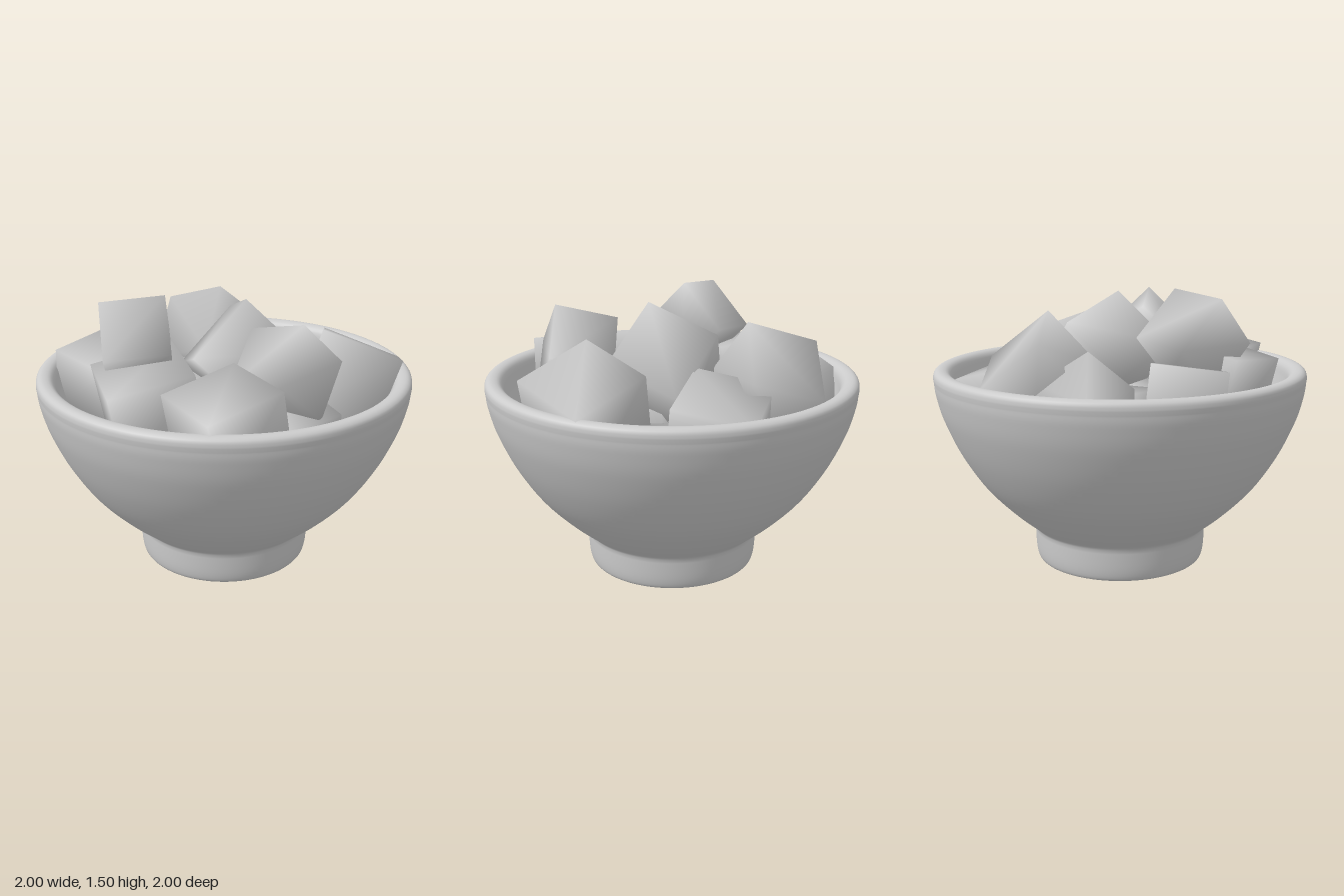
import * as THREE from 'three';
import { mergeVertices } from 'three/addons/utils/BufferGeometryUtils.js';

const material = new THREE.MeshStandardMaterial({ color: 0xcccccc });
const v2 = ([x, y]) => new THREE.Vector2(x, y);
const curve = (pts, n) => new THREE.SplineCurve(pts.map(v2)).getPoints(n);

// Cube with shared corners, so its shading runs softly over the edges
function softCube(size) {
  const g = new THREE.BoxGeometry(size, size, size);
  g.deleteAttribute('normal');
  g.deleteAttribute('uv');
  const merged = mergeVertices(g);
  merged.computeVertexNormals();
  return merged;
}

// Each cube: centre, edge length, direction of one edge, rough direction of a second
const CUBES = [
  // top layer
  [[-0.41, 1.245, -0.23], 0.34, [-0.74, -0.09, -0.68], [-0.48, 0.7, 0.52]],
  [[-0.09, 1.17, 0.5], 0.34, [0, 0.24, 0.97], [0.7, 0.7, -0.17]],
  [[0.08, 1.115, 0.05], 0.417, [0.18, -0.28, 0.25], [-0.22, 0.13, 0.33]],
  [[0.34, 1.07, -0.435], 0.4, [0.31, -0.24, 0.05], [0, 0.14, 0.36]],
  // ring along the rim
  [[0.42, 1.0, 0.51], 0.436, [0.21, -0.14, 0.36], [-0.34, 0.11, 0.25]],
  [[0.08, 0.95, -0.66], 0.34, [0.2, 0.21, -0.18], [0.28, -0.18, 0.09]],
  [[-0.39, 0.97, -0.53], 0.37, [0.37, 0.04, -0.02], [-0.03, 0.36, 0.06]],
  [[0.53, 0.89, -0.14], 0.42, [0.35, -0.1, 0.2], [0.12, 0.38, 0]],
  [[-0.47, 0.97, 0.46], 0.42, [0.37, 0.08, 0.1], [-0.08, 0.4, 0]],
  [[-0.51, 0.97, -0.04], 0.44, [0.39, 0.09, 0.23], [-0.08, 0.4, 0]],
  // lower layer, mostly covered
  [[-0.1, 0.82, 0.5], 0.4, [0.38, 0.05, 0.1], [0, 0.38, 0.08]],
  [[-0.1, 0.75, 0.12], 0.4, [0.3, 0.1, 0.25], [-0.1, 0.38, 0]],
  [[0.02, 0.8, -0.32], 0.4, [0.36, 0, 0.12], [0.05, 0.38, 0.05]],
  [[0.3, 0.62, 0.2], 0.4, [0.3, 0.05, -0.25], [0, 0.4, 0.05]],
];

export function createModel() {
  const model = new THREE.Group();

  // Bowl profile: hollow underside, foot ring, outer wall, rolled rim, inner wall
  const profile = [
    ...[[0, 0.13], [0.3, 0.13], [0.37, 0.125], [0.4, 0.09], [0.412, 0.03], [0.422, 0.005], [0.43, 0]].map(v2),
    ...curve([[0.44, 0], [0.46, 0.012], [0.471, 0.07], [0.475, 0.18]], 12),
    ...curve([[0.485, 0.195], [0.62, 0.31], [0.76, 0.46], [0.875, 0.64], [0.955, 0.82], [0.99, 0.95], [0.997, 1.01]], 36),
    ...curve([[1, 1.03], [0.995, 1.06], [0.97, 1.077], [0.93, 1.072], [0.905, 1.045], [0.895, 1.0]], 16),
    ...curve([[0.885, 0.95], [0.83, 0.76], [0.72, 0.56], [0.55, 0.38], [0.32, 0.25], [0, 0.21]], 24),
  ];
  const bowl = new THREE.Mesh(new THREE.LatheGeometry(profile, 96), material);
  bowl.name = 'bowl';
  model.add(bowl);

  // Pile of tumbled cubes
  const pile = new THREE.Group();
  pile.name = 'cubes';
  CUBES.forEach(([centre, size, edgeA, edgeB], i) => {
    const u = new THREE.Vector3(...edgeA).normalize();
    const b = new THREE.Vector3(...edgeB);
    const w = new THREE.Vector3().crossVectors(u, b).normalize();
    const v = new THREE.Vector3().crossVectors(w, u);
    const cube = new THREE.Mesh(softCube(size), material);
    cube.name = `cube${i + 1}`;
    cube.quaternion.setFromRotationMatrix(new THREE.Matrix4().makeBasis(u, v, w));
    cube.position.set(...centre);
    pile.add(cube);
  });
  model.add(pile);

  return model;
}
